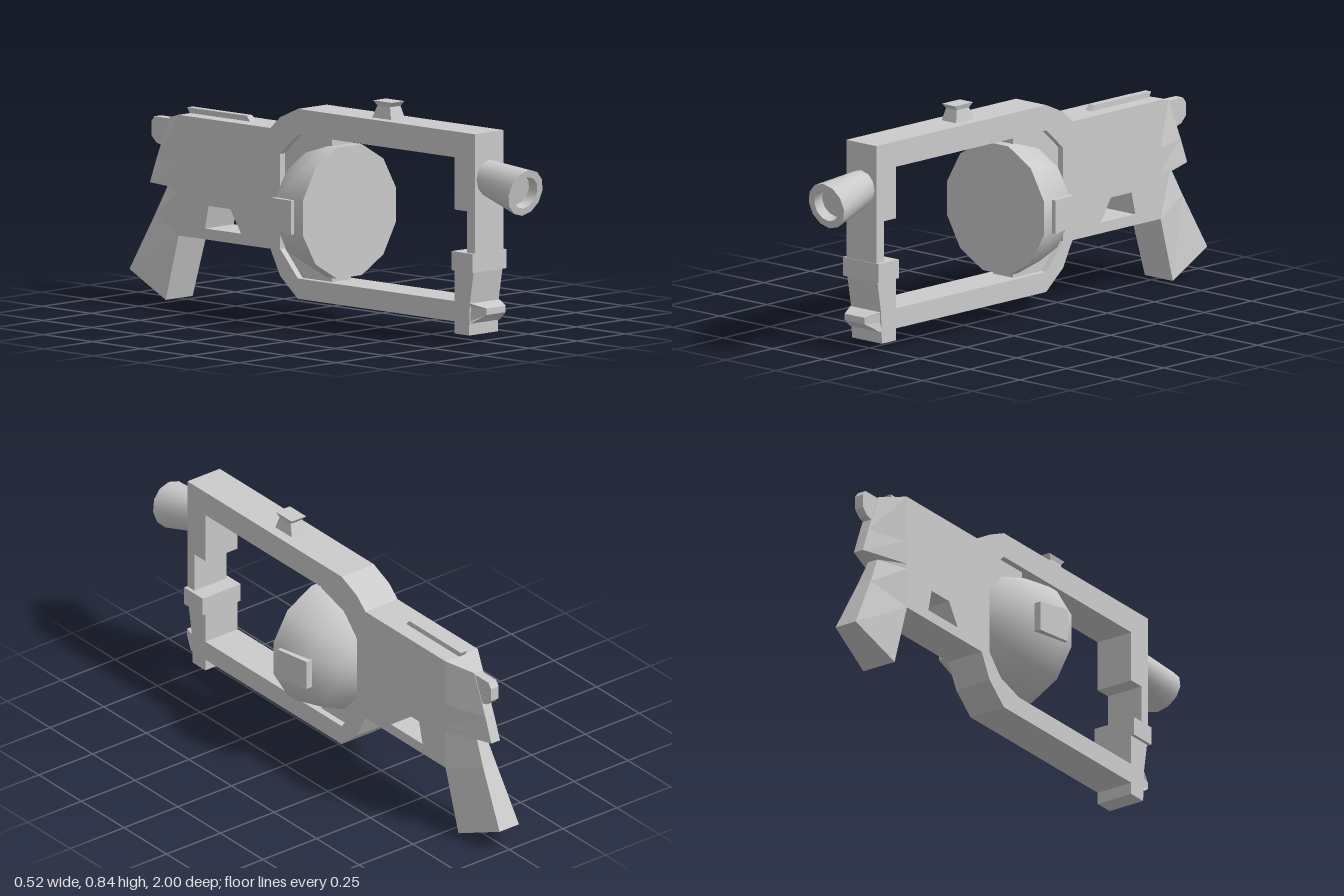
import * as THREE from 'three';
import { toCreasedNormals } from 'three/addons/utils/BufferGeometryUtils.js';

const flat = new THREE.MeshStandardMaterial({ color: 0xcccccc, flatShading: true });
const smooth = new THREE.MeshStandardMaterial({ color: 0xcccccc });
const vecs = (pts) => pts.map(([a, b]) => new THREE.Vector2(a, b));

// Side outline given as [z, y], extruded across x to a half width
function sideExtrude(outline, half, holes = []) {
  const shape = new THREE.Shape(vecs(outline));
  holes.forEach((h) => shape.holes.push(new THREE.Path(vecs(h))));
  const g = new THREE.ExtrudeGeometry(shape, { depth: half * 2, bevelEnabled: false });
  return g.rotateY(-Math.PI / 2).translate(half, 0, 0);
}

// Four-sided loft, bottom to top; section = [zFront, yFront, halfFront, zBack, yBack, halfBack]
function loft(sections) {
  const pos = [], idx = [];
  for (const [zf, yf, wf, zb, yb, wb] of sections) {
    pos.push(wf, yf, zf, wb, yb, zb, -wb, yb, zb, -wf, yf, zf);
  }
  const last = (sections.length - 1) * 4;
  for (let i = 0; i < last; i += 4) {
    for (let j = 0; j < 4; j++) {
      const a = i + j, b = i + (j + 1) % 4;
      idx.push(a, b, b + 4, a, b + 4, a + 4);
    }
  }
  idx.push(0, 2, 1, 0, 3, 2, last, last + 1, last + 2, last, last + 2, last + 3);
  const g = new THREE.BufferGeometry();
  g.setAttribute('position', new THREE.Float32BufferAttribute(pos, 3));
  g.setIndex(idx);
  const out = g.toNonIndexed();
  out.computeVertexNormals();
  return out;
}

export function createModel() {
  const group = new THREE.Group();
  const add = (name, geometry, material = flat) => {
    const mesh = new THREE.Mesh(geometry, material);
    mesh.name = name;
    group.add(mesh);
    return mesh;
  };

  // Open frame and rear body, with the large window and the trigger opening
  add('frame', sideExtrude(
    [[0.795, 0.775], [-0.11, 0.775], [-0.2, 0.735], [-0.25, 0.69], [-0.72, 0.69], [-0.72, 0.245],
      [-0.25, 0.245], [-0.2, 0.15], [-0.11, 0.075], [0.69, 0.075], [0.69, 0.03], [0.765, 0.03],
      [0.77, 0.15], [0.79, 0.27], [0.795, 0.34]],
    0.075,
    [[[0.69, 0.68], [0.69, 0.487], [0.755, 0.487], [0.755, 0.3], [0.69, 0.3], [0.69, 0.15],
      [-0.11, 0.15], [-0.2, 0.25], [-0.2, 0.6], [-0.11, 0.68]],
    [[-0.4, 0.285], [-0.455, 0.37], [-0.565, 0.37], [-0.585, 0.285]]]));

  // Narrower web that holds the dome
  add('domeWeb', sideExtrude(
    [[0.04, 0.685], [-0.11, 0.685], [-0.21, 0.62], [-0.21, 0.22], [-0.11, 0.145], [0.04, 0.145]], 0.05));

  // Tapered tail running down into the grip
  add('tailAndGrip', loft([
    [-0.79, 0, 0.07, -1, 0.09, 0.045],
    [-0.72, 0.245, 0.075, -0.885, 0.3, 0.03],
    [-0.72, 0.4, 0.075, -0.83, 0.41, 0.02],
    [-0.72, 0.42, 0.075, -0.92, 0.415, 0.02],
    [-0.72, 0.51, 0.075, -0.885, 0.51, 0.02],
    [-0.72, 0.69, 0.075, -0.82, 0.665, 0.02],
  ]));
  add('rearKnob', sideExtrude(
    [[-0.8, 0.66], [-0.9, 0.66], [-0.915, 0.64], [-0.915, 0.59], [-0.89, 0.565], [-0.8, 0.54]], 0.018));

  // Rail and sight on top
  add('topRail', sideExtrude([[-0.41, 0.685], [-0.43, 0.71], [-0.735, 0.71], [-0.72, 0.685]], 0.014));
  add('sight', loft([
    [0.33, 0.77, 0.037, 0.23, 0.77, 0.037],
    [0.315, 0.82, 0.027, 0.25, 0.82, 0.027],
    [0.33, 0.838, 0.033, 0.235, 0.838, 0.033],
  ]));

  // Front post fittings
  add('postClamp', new THREE.BoxGeometry(0.177, 0.07, 0.108).translate(0, 0.3, 0.743));
  add('lowerNub', loft([
    [0.775, 0.075, 0.075, 0.75, 0.075, 0.075],
    [0.83, 0.11, 0.05, 0.75, 0.11, 0.075],
    [0.83, 0.134, 0.05, 0.75, 0.134, 0.075],
    [0.775, 0.148, 0.075, 0.75, 0.148, 0.075],
  ]));

  // Flared barrel with a shallow bore, tipped slightly downwards
  const barrel = add('barrel', toCreasedNormals(new THREE.LatheGeometry(
    vecs([[0, 0], [0.065, 0], [0.088, 0.2], [0.06, 0.2], [0.057, 0.16], [0, 0.16]]), 12), 0.7), smooth);
  barrel.rotation.x = Math.PI / 2 + 0.2;
  barrel.position.set(0, 0.61, 0.785);

  // Twelve-sided dome with a flat front
  const dome = add('dome', toCreasedNormals(new THREE.LatheGeometry(
    vecs([[0, -0.215], [0.07, -0.2], [0.14, -0.165], [0.212, -0.09], [0.25, 0.03], [0.25, 0.08], [0, 0.08]]),
    12, Math.PI / 12), 0.9), smooth);
  dome.rotation.x = Math.PI / 2;
  dome.position.y = 0.409;

  // Raised pad on each side of the dome
  for (const side of [1, -1]) {
    const [zf, zb, y] = [0.035, -0.095, 0.408];
    const pad = new THREE.BoxGeometry(0.04, 0.126, zf - zb);
    const p = pad.attributes.position;
    for (let i = 0; i < p.count; i++) {
      const front = p.getZ(i) > 0, outer = p.getX(i) * side > 0;
      const x = front ? (outer ? 0.258 : 0.225) : (outer ? 0.227 : 0.19);
      p.setXYZ(i, x * side, y + p.getY(i) * (front ? 1 : 0.9), front ? zf : zb);
    }
    pad.computeVertexNormals();
    add(side > 0 ? 'leftPad' : 'rightPad', pad);
  }
  return group;
}
